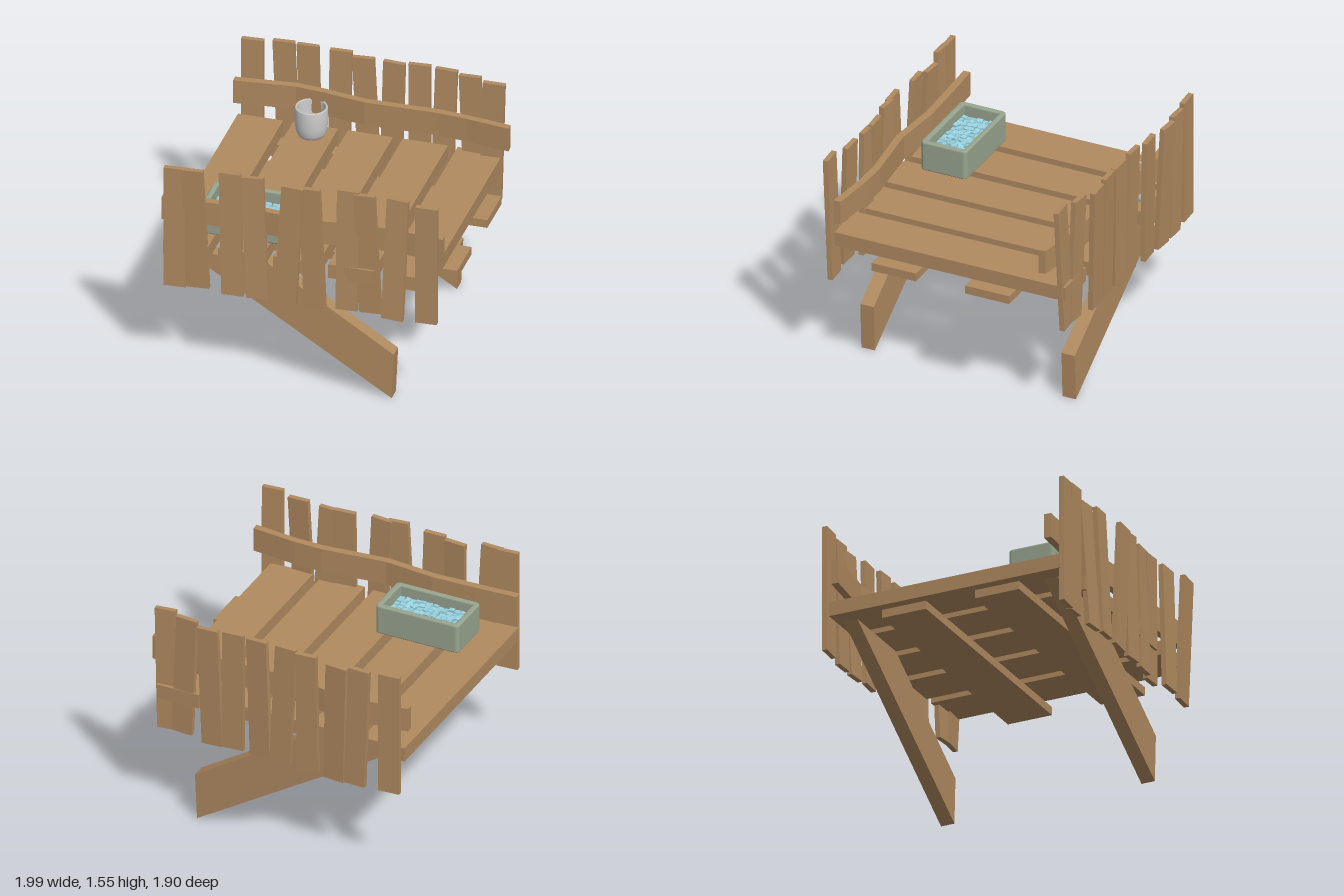
import * as THREE from 'three';
import { RoundedBoxGeometry } from 'three/addons/geometries/RoundedBoxGeometry.js';

const YAW = -0.058; // the whole deck is slightly askew
const wood = new THREE.MeshStandardMaterial({ color: 0xb08a60, flatShading: true });
const trayMat = new THREE.MeshStandardMaterial({ color: 0x98a48f });
const cubeMat = new THREE.MeshStandardMaterial({ color: 0x9ad4e2, flatShading: true });
const cupMat = new THREE.MeshStandardMaterial({ color: 0xcccccc, side: THREE.DoubleSide });

function add(parent, name, geometry, material, x = 0, y = 0, z = 0, ry = 0) {
  const mesh = new THREE.Mesh(geometry, material);
  mesh.name = name;
  mesh.position.set(x, y, z);
  mesh.rotation.y = ry;
  parent.add(mesh);
  return mesh;
}

// Extrude a plan outline of [x, z] points upward by h
function planExtrude(points, h) {
  const shape = new THREE.Shape(points.map(([x, z]) => new THREE.Vector2(x, -z)));
  return new THREE.ExtrudeGeometry(shape, { depth: h, bevelEnabled: false }).rotateX(-Math.PI / 2);
}

function roundedRect(Type, w, d, r) {
  const p = new Type(), x = w / 2, y = d / 2;
  p.moveTo(-x + r, -y);
  p.lineTo(x - r, -y).quadraticCurveTo(x, -y, x, -y + r);
  p.lineTo(x, y - r).quadraticCurveTo(x, y, x - r, y);
  p.lineTo(-x + r, y).quadraticCurveTo(-x, y, -x, y - r);
  p.lineTo(-x, -y + r).quadraticCurveTo(-x, -y, -x + r, -y);
  return p;
}

// Pickets: [x bottom, x top, z bottom, z top], rail: inner edge as [x, z]
function fence(name, pickets, rail, railDepth) {
  const g = new THREE.Group();
  g.name = name;
  const h = 0.885;
  pickets.forEach(([xb, xt, zb, zt], i) => {
    const m = add(g, 'picket', new THREE.BoxGeometry(0.147, h, 0.035), wood,
      (xb + xt) / 2, 1.095 + 0.006 * Math.sin(i * 2.4), (zb + zt) / 2, YAW * (i % 3) * 0.8);
    m.rotation.z = -Math.atan((xt - xb) / h);
    m.rotation.x = Math.atan((zt - zb) / h);
  });
  const outer = rail.map(([x, z]) => [x, z + railDepth]).reverse();
  add(g, 'rail', planExtrude([...rail, ...outer], 0.17), wood, 0, 1.1, 0);
  return g;
}

export function createModel() {
  const model = new THREE.Group();

  // Deck boards
  for (let i = 0; i < 5; i++) {
    add(model, 'deckBoard', new THREE.BoxGeometry(0.307, 0.1, 1.68), wood,
      -0.775 + 0.372 * i, 0.93, -0.025 + 0.02 * i, YAW);
  }

  // Cross boards beneath the deck
  for (const [x, z] of [[0.07, -0.305], [0.03, 0.37]]) {
    add(model, 'crossBoard', new THREE.BoxGeometry(1.83, 0.058, 0.32), wood, x, 0.85, z, YAW);
  }

  // Slanted legs, cut level under the deck
  const legShape = new THREE.Shape([[0, 0], [0.015, 0.33], [-0.85, 0.88], [-1.41, 0.88]]
    .map(([x, y]) => new THREE.Vector2(x, y)));
  for (const [x, z] of [[0.558, 0.72], [0.645, -0.735]]) {
    const geo = new THREE.ExtrudeGeometry(legShape, { depth: 0.097, bevelEnabled: false });
    add(model, 'leg', geo, wood, x, 0, z, YAW);
  }

  // Fences with wavy rails
  model.add(fence('frontFence', [
    [-0.895, -0.895, 0.81, 0.81], [-0.74, -0.78, 0.80, 0.82], [-0.505, -0.535, 0.83, 0.785],
    [-0.335, -0.375, 0.85, 0.82], [-0.145, -0.095, 0.86, 0.87], [0.055, 0.015, 0.865, 0.865],
    [0.265, 0.27, 0.86, 0.84], [0.42, 0.38, 0.84, 0.855], [0.58, 0.61, 0.91, 0.87],
    [0.805, 0.815, 0.90, 0.93],
  ], [[-1, 0.7], [-0.7, 0.705], [-0.4, 0.715], [-0.05, 0.77], [0.4, 0.75], [0.6, 0.765], [0.905, 0.815]], 0.05));
  model.add(fence('backFence', [
    [-0.79, -0.79, -0.91, -0.91], [-0.55, -0.585, -0.92, -0.925], [-0.395, -0.425, -0.90, -0.93],
    [-0.205, -0.195, -0.88, -0.895], [0.01, -0.035, -0.84, -0.85], [0.155, 0.175, -0.825, -0.84],
    [0.35, 0.345, -0.82, -0.835], [0.50, 0.525, -0.81, -0.835], [0.735, 0.695, -0.76, -0.775],
    [0.84, 0.87, -0.75, -0.72],
  ], [[-0.895, -0.85], [-0.48, -0.868], [-0.3, -0.84], [0, -0.775], [0.5, -0.755], [0.7, -0.725], [0.99, -0.665]]
    , 0.05));

  // Tray filled with small cubes
  const tray = new THREE.Group();
  tray.name = 'tray';
  tray.position.set(-0.452, 0.98, 0.518);
  tray.rotation.y = YAW;
  model.add(tray);
  const wall = roundedRect(THREE.Shape, 0.58, 0.31, 0.02);
  wall.holes.push(roundedRect(THREE.Path, 0.55, 0.28, 0.02));
  const wallGeo = new THREE.ExtrudeGeometry(wall, {
    depth: 0.186, bevelThickness: 0.012, bevelSize: 0.012, bevelSegments: 3, curveSegments: 4,
  }).rotateX(-Math.PI / 2);
  add(tray, 'trayWall', wallGeo, trayMat, 0, 0.012, 0);
  add(tray, 'trayFloor', new RoundedBoxGeometry(0.59, 0.04, 0.32, 2, 0.01), trayMat, 0, 0.021, 0);

  let seed = 7;
  const rnd = () => (seed = (seed * 16807) % 2147483647) / 2147483647 - 0.5;
  for (let layer = 0; layer < 2; layer++) {
    for (let i = 0; i < 13; i++) {
      for (let j = 0; j < 7; j++) {
        const s = 0.034 + 0.008 * rnd();
        const m = add(tray, 'cube', new THREE.BoxGeometry(s, s, s), cubeMat,
          (i - 6) * 0.0405 + 0.006 * rnd(), 0.075 + 0.04 * layer + 0.015 * rnd(), (j - 3) * 0.039 + 0.006 * rnd());
        m.rotation.set(0.3 * rnd(), 0.6 * rnd(), 0.3 * rnd());
      }
    }
  }

  // Cup with rounded base and hollow inside
  const profile = [[0, 0], [0.06, 0], [0.085, 0.012], [0.1, 0.04], [0.108, 0.09], [0.11, 0.15], [0.108, 0.215],
    [0.104, 0.222], [0.097, 0.222], [0.092, 0.215], [0.094, 0.15], [0.09, 0.07], [0.075, 0.035], [0.05, 0.022], [0, 0.02]];
  add(model, 'cup', new THREE.LatheGeometry(profile.map(([r, y]) => new THREE.Vector2(r, y)), 32), cupMat, -0.35, 0.98, -0.71);

  return model;
}
